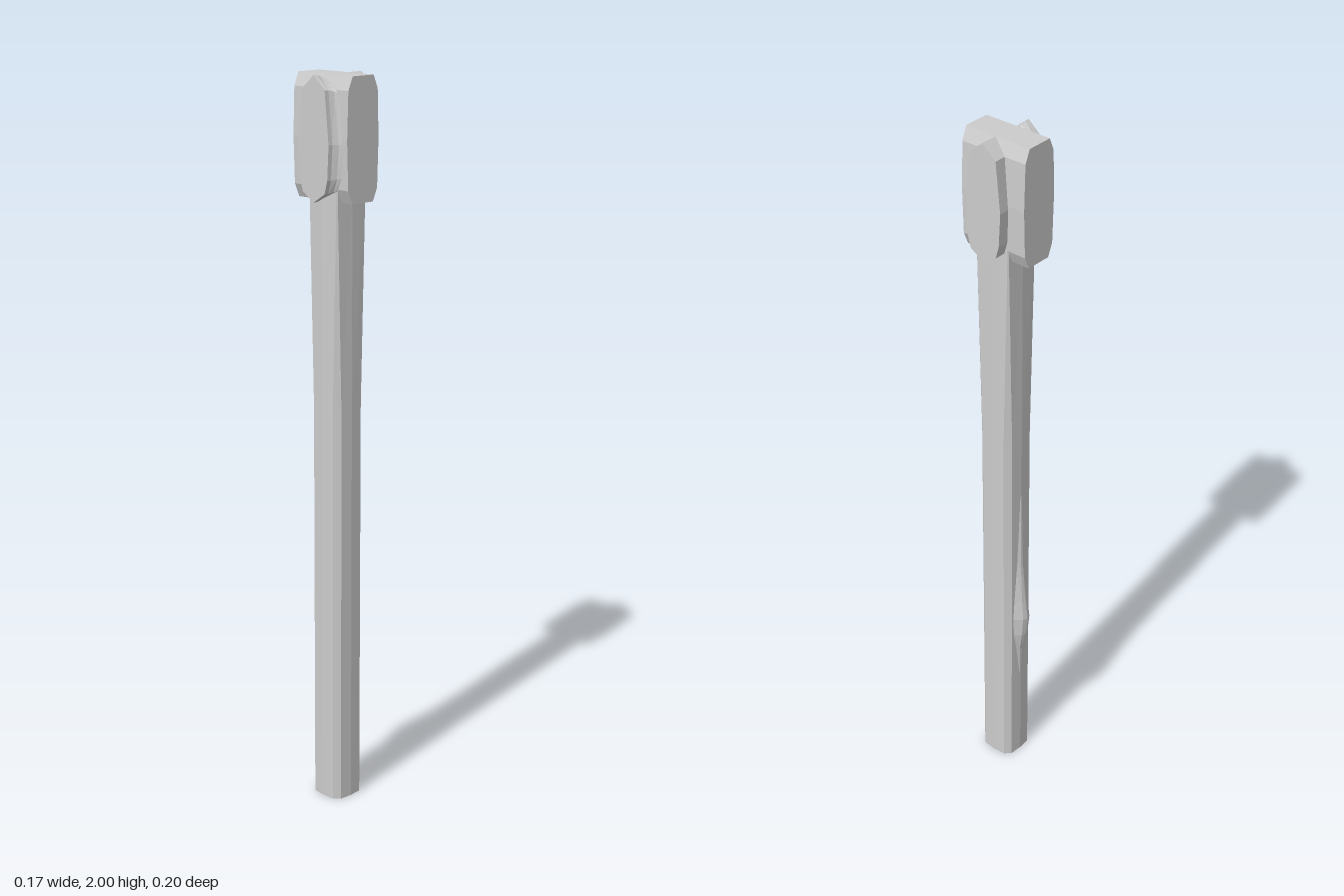
import * as THREE from 'three';

const material = new THREE.MeshStandardMaterial({ color: 0xcccccc, flatShading: true, side: THREE.DoubleSide });

// Joins equal-sized closed rings of [x, y, z] points and closes both ends.
function loft(name, rings) {
  const n = rings[0].length, pos = [];
  const tri = (a, b, c) => pos.push(...a, ...b, ...c);
  for (let r = 0; r < rings.length - 1; r++) {
    for (let i = 0; i < n; i++) {
      const j = (i + 1) % n, a = rings[r], b = rings[r + 1];
      tri(a[i], b[j], a[j]);
      tri(a[i], b[i], b[j]);
    }
  }
  const first = rings[0], last = rings[rings.length - 1];
  for (let i = 1; i < n - 1; i++) {
    tri(first[0], first[i], first[i + 1]);
    tri(last[0], last[i + 1], last[i]);
  }
  const geometry = new THREE.BufferGeometry();
  geometry.setAttribute('position', new THREE.Float32BufferAttribute(pos, 3));
  geometry.computeVertexNormals();
  const mesh = new THREE.Mesh(geometry, material);
  mesh.name = name;
  return mesh;
}

// Mirrors a half outline of [halfWidth, y], listed bottom to top, into a closed loop.
function mirrorOutline(half) {
  const other = half.filter(([w]) => w > 0).reverse().map(([w, y]) => [-w, y]);
  return [...half, ...other];
}

// Square section with chamfered corners and slightly crowned faces.
function shaftRing(y, chamfer) {
  const r = 0.055, e = 0.052, c = e - chamfer, zc = 0.005;
  const ring = [];
  for (let k = 0; k < 4; k++) {
    const cos = [1, 0, -1, 0][k], sin = [0, 1, 0, -1][k];
    for (const [u, v] of [[e, -c], [r, 0], [e, c]]) {
      ring.push([u * cos - v * sin, y, zc + u * sin + v * cos]);
    }
  }
  return ring;
}

export function createModel() {
  const group = new THREE.Group();

  // Shaft: chamfers fade out towards the head
  group.add(loft('shaft', [[0, 0.016], [1.13, 0.016], [1.72, 0.002]].map(([y, c]) => shaftRing(y, c)).reverse()));

  // Head bar running front to back
  const barOutline = mirrorOutline([
    [0.037, 1.68], [0.052, 1.715], [0.056, 1.84], [0.052, 1.965], [0.037, 2.0],
  ]);
  group.add(loft('headBar', [0.097, -0.1].map(z => barOutline.map(([x, y]) => [x, y, z])).reverse()));

  // Cross bar with pointed ends, flared where its right arm meets the head
  const armOutline = mirrorOutline([
    [0, 1.68], [0.04, 1.705], [0.05, 1.74], [0.055, 1.83], [0.041, 1.965], [0, 2.0],
  ]);
  const stations = [[-0.085, 1, 1], [-0.073, 1.03, 1], [-0.06, 1.2, 0.97], [-0.054, 1.4, 0.95], [-0.04, 1, 0.95], [0.04, 1, 1], [0.085, 1, 1]];
  group.add(loft('crossBar', stations.map(([x, sz, sy]) =>
    armOutline.map(([z, y]) => [x, 1.84 + (y - 1.84) * sy, 0.005 + z * sz]))));

  // Knot swelling from the back of the shaft: [y, half width, bulge]
  const knot = [[0.3, 0.006, 0.001], [0.4, 0.018, 0.005], [0.46, 0.027, 0.018], [0.52, 0.03, 0.025],
    [0.58, 0.026, 0.018], [0.7, 0.017, 0.007], [0.94, 0.006, 0.001]];
  group.add(loft('knot', knot.map(([y, w, b]) => [
    [-w, y, -0.044], [-w, y, -0.048], [-w * 0.45, y, -0.05 - b * 0.8], [0, y, -0.05 - b],
    [w * 0.45, y, -0.05 - b * 0.8], [w, y, -0.048], [w, y, -0.044],
  ])));

  return group;
}
